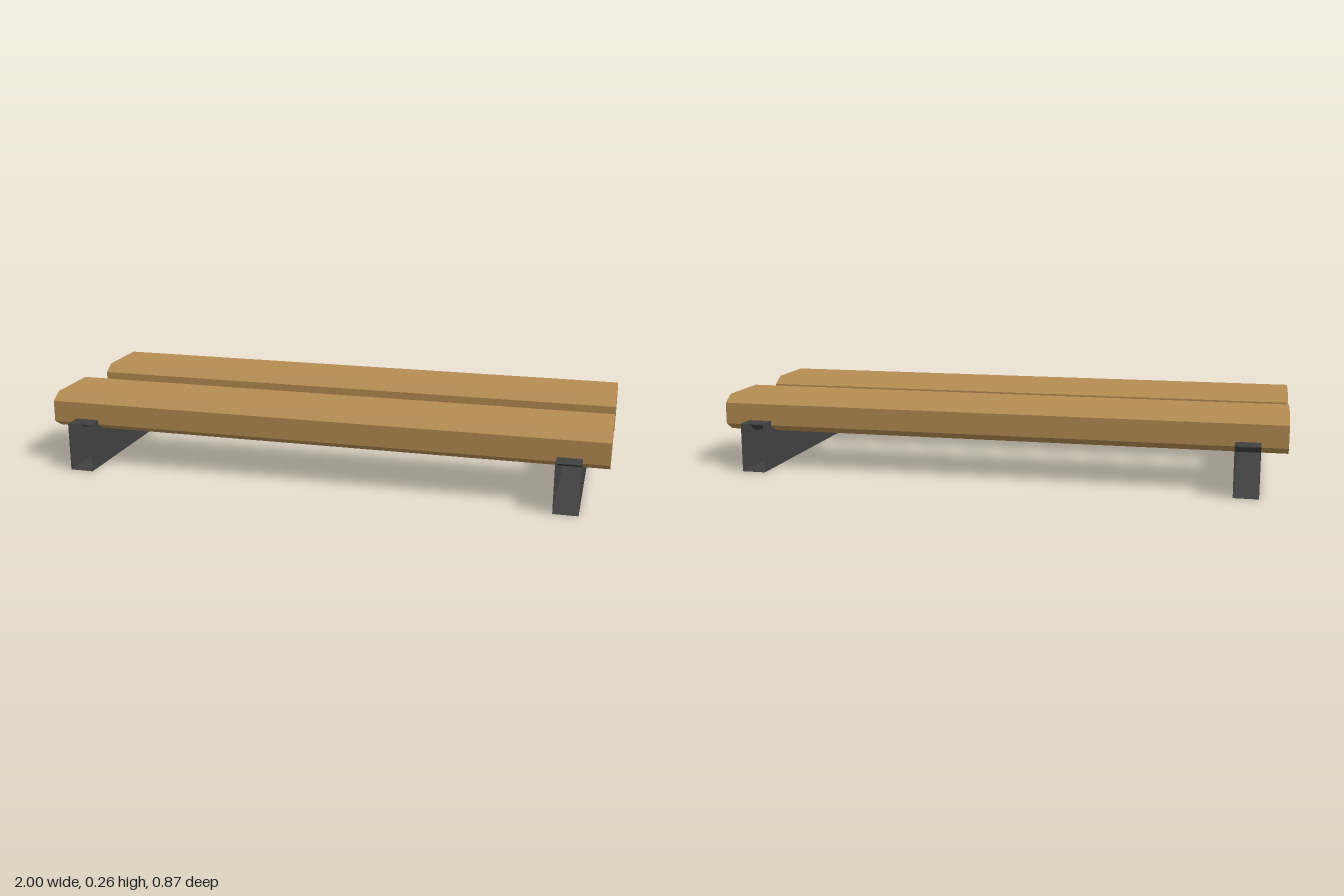
import * as THREE from 'three';
import { mergeGeometries } from 'three/addons/utils/BufferGeometryUtils.js';

const wood = new THREE.MeshStandardMaterial({ color: 0xb58c52 });
wood.name = 'wood';
const metal = new THREE.MeshStandardMaterial({ color: 0x414141, side: THREE.DoubleSide });
metal.name = 'dark metal';

const shapeOf = (pts) => new THREE.Shape(pts.map(([z, y]) => new THREE.Vector2(z, y)));

// Chamfered octagonal plank, running along x
function plankGeometry() {
  const w = 0.1485, c = 0.043, y0 = 0.133, y1 = 0.262, d = 0.026;
  const shape = shapeOf([
    [-w + c, y0], [w - c, y0], [w, y0 + d], [w, y1 - d],
    [w - c, y1], [-w + c, y1], [-w, y1 - d], [-w, y0 + d],
  ]);
  return new THREE.ExtrudeGeometry(shape, { depth: 2, bevelEnabled: false })
    .translate(0, 0, -1).rotateY(Math.PI / 2);
}

// Thin-walled, open-ended support with a notch cradling each plank
function supportGeometry() {
  const L = 0.435, top = 0.175, h = 0.0425;
  const half = [
    [0.07, top], [0.07, 0.157], [0.112, 0.132], [0.324, 0.132],
    [0.367, 0.157], [0.367, top], [L, top],
  ];
  const mirrored = half.map(([z, y]) => [-z, y]).reverse();
  const upper = [...mirrored, ...half];
  const sheet = new THREE.ShapeGeometry(shapeOf([[L, 0], ...[...upper].reverse(), [-L, 0]]));
  const parts = [
    sheet.clone().rotateY(Math.PI / 2).translate(h, 0, 0),
    sheet.clone().rotateY(-Math.PI / 2).translate(-h, 0, 0),
    new THREE.PlaneGeometry(2 * h, 2 * L).rotateX(Math.PI / 2),
  ];
  // Upper panels follow the notched outline
  for (let i = 0; i < upper.length - 1; i++) {
    const [za, ya] = upper[i], [zb, yb] = upper[i + 1];
    const panel = new THREE.PlaneGeometry(2 * h, Math.hypot(zb - za, yb - ya));
    panel.rotateX(-Math.PI / 2).rotateX(-Math.atan2(yb - ya, zb - za));
    parts.push(panel.translate(0, (ya + yb) / 2, (za + zb) / 2));
  }
  return mergeGeometries(parts);
}

export function createModel() {
  const model = new THREE.Group();
  model.name = 'lowBench';
  const plank = plankGeometry(), support = supportGeometry();
  for (const side of [-1, 1]) {
    const board = new THREE.Mesh(plank, wood);
    board.name = side > 0 ? 'frontPlank' : 'backPlank';
    board.position.z = side * 0.2185;
    const foot = new THREE.Mesh(support, metal);
    foot.name = side > 0 ? 'leftSupport' : 'rightSupport';
    foot.position.x = side * 0.8685;
    model.add(board, foot);
  }
  return model;
}
